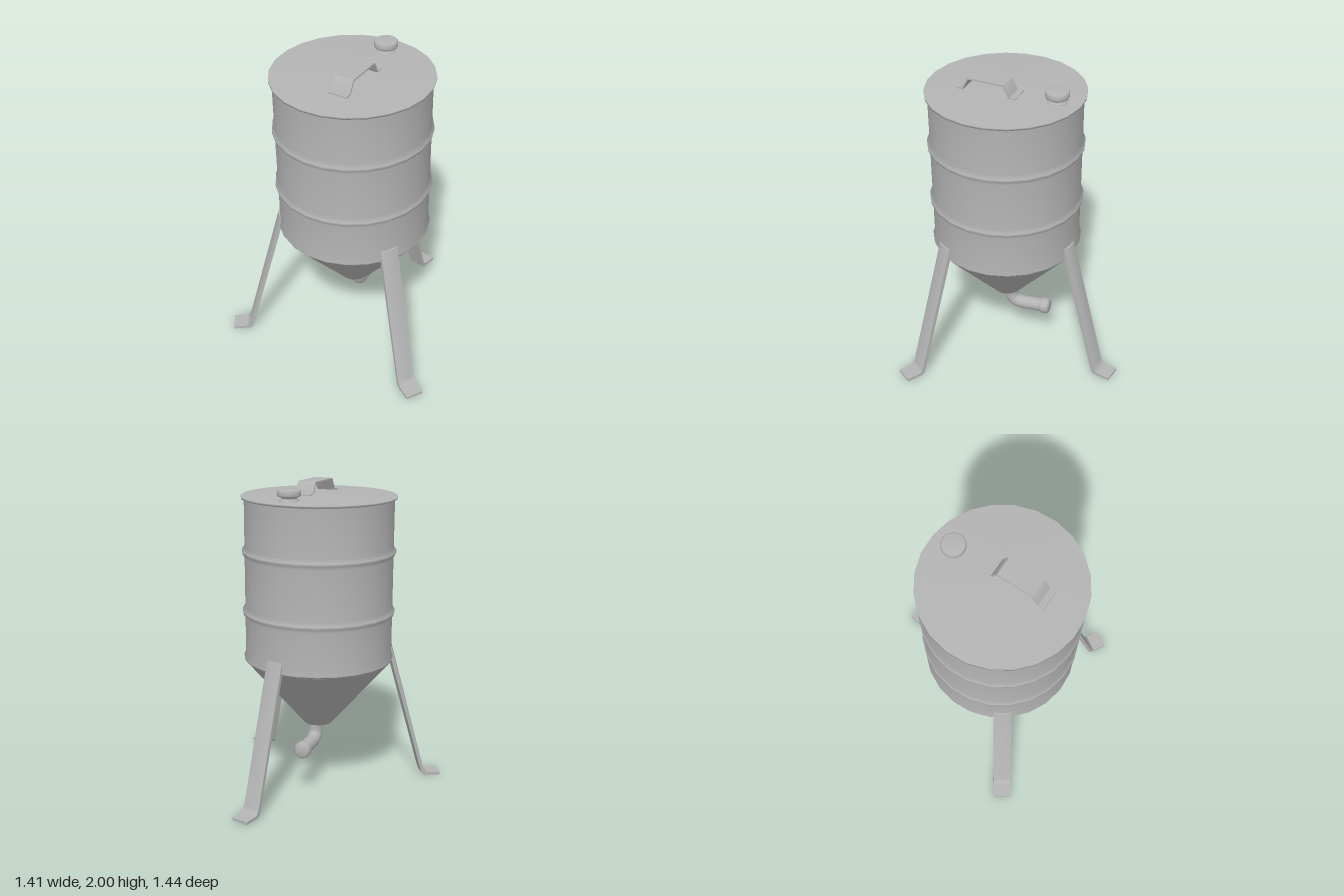
import * as THREE from 'three';
import { toCreasedNormals } from 'three/addons/utils/BufferGeometryUtils.js';

const steel = new THREE.MeshStandardMaterial({ color: 0xb4b4b4 });
steel.name = 'steel grey';

const CENTRE_X = -0.13, CENTRE_Z = -0.04;

function part(name, geometry) {
  const mesh = new THREE.Mesh(geometry, steel);
  mesh.name = name;
  return mesh;
}

// Revolved part; profile runs from bottom to top as [radius, height]
function lathe(name, profile, sides = 24) {
  return part(name, new THREE.LatheGeometry(profile.map(([r, y]) => new THREE.Vector2(r, y)), sides));
}

// Bent strip: side outline extruded across its width, optionally bowed outward
function strip(name, outline, width, bow = 0) {
  const shape = new THREE.Shape(outline.map(([x, y]) => new THREE.Vector2(x, y)));
  const geo = new THREE.ExtrudeGeometry(shape, { depth: width, steps: bow ? 6 : 1, bevelEnabled: false });
  geo.translate(0, 0, -width / 2);
  const pos = geo.attributes.position;
  for (let i = 0; i < pos.count; i++) {
    const t = pos.getZ(i) / (width / 2);
    // the bow fades out towards the flat foot
    const fade = Math.min(1, Math.max(0, (pos.getY(i) - 0.03) / 0.1));
    pos.setX(i, pos.getX(i) - bow * t * t * fade);
  }
  return part(name, toCreasedNormals(geo, 0.6));
}

export function createModel() {
  const root = new THREE.Group();
  root.name = 'hopperTank';
  const tank = new THREE.Group();
  tank.name = 'tank';
  tank.position.set(CENTRE_X, 0, CENTRE_Z);
  root.add(tank);

  // Drum wall with two raised hoops and a lip at each end
  const R = 0.473;
  const wall = [[0.476, 0.86], [0.484, 0.875], [R, 0.9]];
  for (const y of [1.18, 1.565]) {
    wall.push([R, y - 0.032], [0.489, y - 0.008], [0.489, y + 0.008], [R, y + 0.032]);
  }
  wall.push([R, 1.895], [0.486, 1.904]);
  tank.add(lathe('drumWall', wall));

  // Discharge cone and its closed bottom
  tank.add(lathe('hopperCone', [[0.092, 0.415], [0.484, 0.87]]));
  tank.add(lathe('coneBottom', [[0, 0.415], [0.092, 0.415]]));

  // Slightly domed lid
  tank.add(lathe('lid', [[0, 1.902], [0.492, 1.902], [0.492, 1.915], [0, 1.925]]));

  // Filler neck and cap
  const filler = lathe('fillerCap', [
    [0.062, 1.915], [0.062, 1.926], [0.05, 1.928], [0.05, 1.943],
    [0.07, 1.947], [0.073, 1.955], [0.073, 1.978], [0.066, 1.986], [0, 1.988],
  ], 16);
  filler.position.x = 0.345;
  tank.add(filler);

  // Lid handle
  const handle = strip('lidHandle', [
    [-0.195, 1.918], [-0.15, 1.918], [-0.112, 1.99], [0.112, 1.99], [0.15, 1.918], [0.195, 1.918],
    [0.195, 1.928], [0.156, 1.928], [0.122, 1.994], [0.115, 2], [-0.115, 2], [-0.122, 1.994],
    [-0.156, 1.928], [-0.195, 1.928],
  ], 0.122);
  handle.position.set(-0.07, 0, 0.07);
  handle.rotation.y = 0.08;
  tank.add(handle);

  // Three splayed legs with turned-out feet
  const legOutline = [
    [0.458, 0.94], [0.698, 0.045], [0.706, 0.018], [0.725, 0.005], [0.832, 0.003],
    [0.832, 0.02], [0.74, 0.024], [0.728, 0.035], [0.718, 0.06], [0.482, 0.94],
  ];
  [3.8, 117.5, 230.3].forEach((deg, i) => {
    const leg = strip('leg' + (i + 1), legOutline, 0.115, 0.012);
    leg.rotation.y = -THREE.MathUtils.degToRad(deg);
    tank.add(leg);
  });

  // Outlet elbow below the cone, ending in a coupling
  const outlet = new THREE.Group();
  outlet.name = 'outlet';
  outlet.position.set(-0.1, 0, CENTRE_Z);
  outlet.rotation.y = 0.2;
  const v = (x, y) => new THREE.Vector3(x, y, 0);
  const path = new THREE.CurvePath();
  path.add(new THREE.LineCurve3(v(0, 0.43), v(0, 0.385)));
  path.add(new THREE.QuadraticBezierCurve3(v(0, 0.385), v(0, 0.305), v(0.085, 0.305)));
  path.add(new THREE.LineCurve3(v(0.085, 0.305), v(0.24, 0.31)));
  outlet.add(part('outletPipe', new THREE.TubeGeometry(path, 20, 0.045, 14)));
  const coupling = lathe('outletCoupling', [
    [0.044, 0], [0.054, 0.014], [0.054, 0.05], [0.04, 0.064], [0, 0.065],
  ], 14);
  coupling.position.set(0.208, 0.31, 0);
  coupling.rotation.z = -Math.PI / 2;
  outlet.add(coupling);
  root.add(outlet);

  return root;
}
